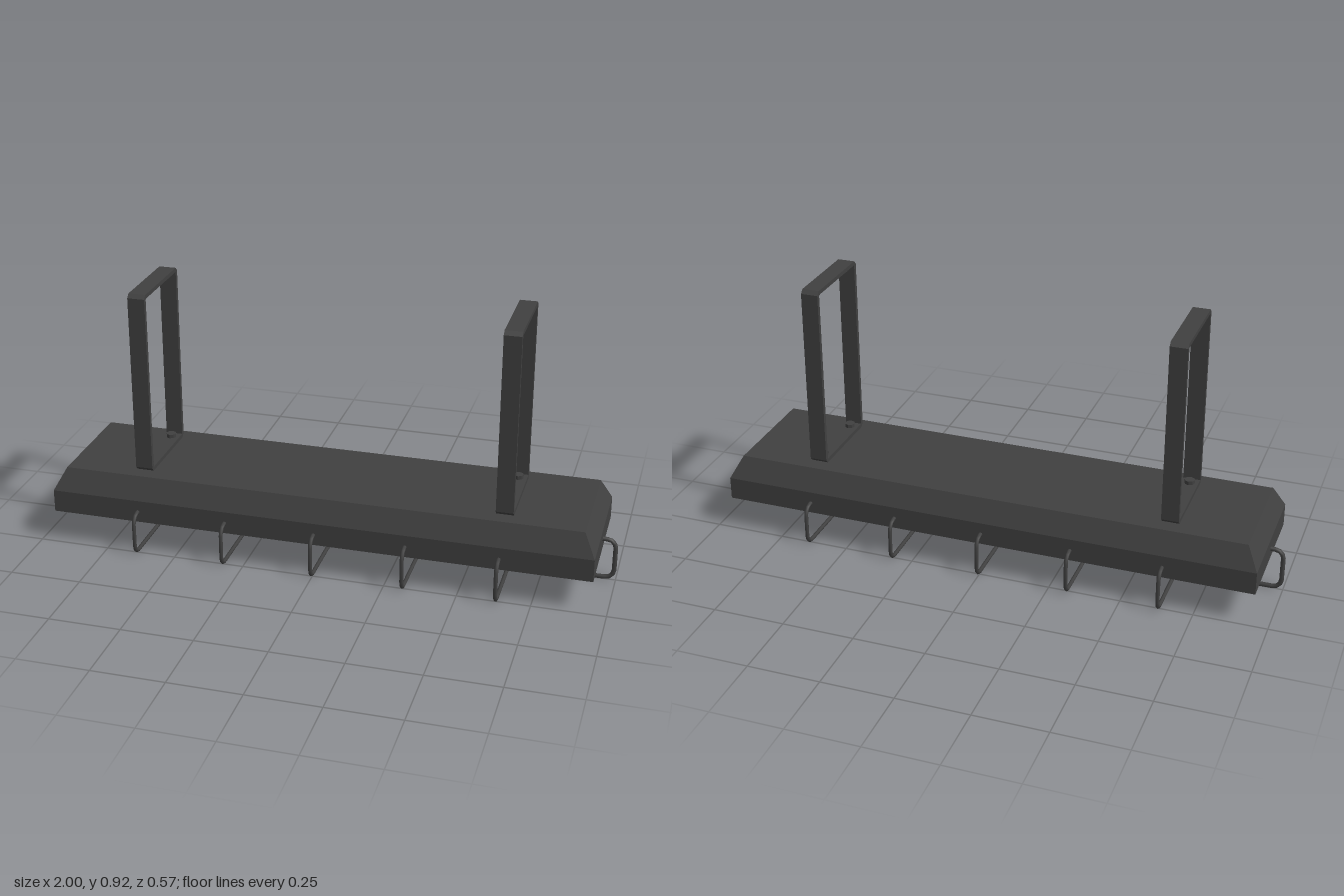
import * as THREE from 'three';

const metal = new THREE.MeshStandardMaterial({ color: 0x404040 });
metal.name = 'dark metal';

function addMesh(parent, geometry, name) {
  const mesh = new THREE.Mesh(geometry, metal);
  mesh.name = name;
  parent.add(mesh);
  return mesh;
}

// Flat-shaded solid skinned over rectangular rings [halfX, halfZ, y], last ring capped
function rectLoft(rings) {
  const corners = [[1, 1], [1, -1], [-1, -1], [-1, 1]];
  const pos = [];
  const point = ([hx, hz, y], i) => [corners[i % 4][0] * hx, y, corners[i % 4][1] * hz];
  for (let r = 0; r < rings.length - 1; r++) {
    for (let i = 0; i < 4; i++) {
      const a = point(rings[r], i), b = point(rings[r], i + 1);
      const c = point(rings[r + 1], i + 1), d = point(rings[r + 1], i);
      pos.push(...a, ...b, ...c, ...a, ...c, ...d);
    }
  }
  const top = [0, 1, 2, 3].map((i) => point(rings[rings.length - 1], i));
  pos.push(...top[0], ...top[1], ...top[2], ...top[0], ...top[2], ...top[3]);
  const g = new THREE.BufferGeometry();
  g.setAttribute('position', new THREE.Float32BufferAttribute(pos, 3));
  g.computeVertexNormals();
  return g;
}

// Path that places one tube ring exactly on each point, with mitred tangents
class PointPath extends THREE.Curve {
  constructor(points) {
    super();
    this.points = points;
  }
  getPointAt(t, target = new THREE.Vector3()) {
    return target.copy(this.points[Math.round(t * (this.points.length - 1))]);
  }
  getTangentAt(t, target = new THREE.Vector3()) {
    const p = this.points, n = p.length - 1, i = Math.round(t * n);
    const before = p[Math.max(i, 1)].clone().sub(p[Math.max(i, 1) - 1]).normalize();
    const j = Math.min(i, n - 1);
    const after = p[j + 1].clone().sub(p[j]).normalize();
    return target.copy(before.add(after).normalize());
  }
}

// U-shaped guard wire in the xy plane, its ends sunk into the housing walls
function guardWire(half, inner, low, high, r, radius) {
  const side = [new THREE.Vector3(inner, high, 0)];
  const arc = (cx, cy, start) => {
    for (let k = 0; k <= 3; k++) {
      const a = start - (k / 3) * Math.PI / 2;
      side.push(new THREE.Vector3(cx + r * Math.cos(a), cy + r * Math.sin(a), 0));
    }
  };
  arc(half - r, high - r, Math.PI / 2);
  arc(half - r, low + r, 0);
  const mirrored = side.map((p) => new THREE.Vector3(-p.x, p.y, 0)).reverse();
  const points = [...side, ...mirrored];
  return new THREE.TubeGeometry(new PointPath(points), points.length - 1, radius, 8, false);
}

// Rectangular strap loop with chamfered outer corners
function strapLoop(halfZ, bottom, top, thick, width) {
  const c = 0.013, y0 = bottom, y1 = top, h = halfZ, t = thick;
  const shape = new THREE.Shape([
    [-h + c, y0], [h - c, y0], [h, y0 + c], [h, y1 - c],
    [h - c, y1], [-h + c, y1], [-h, y1 - c], [-h, y0 + c],
  ].map(([x, y]) => new THREE.Vector2(x, y)));
  shape.holes.push(new THREE.Path([
    [-h + t, y0 + t], [-h + t, y1 - t], [h - t, y1 - t], [h - t, y0 + t],
  ].map(([x, y]) => new THREE.Vector2(x, y))));
  const g = new THREE.ExtrudeGeometry(shape, { depth: width, bevelEnabled: false });
  return g.translate(0, 0, -width / 2).rotateY(Math.PI / 2);
}

export function createModel() {
  const model = new THREE.Group();
  model.name = 'hangingFixture';

  // Housing with sloped shoulders and a recessed underside
  addMesh(model, rectLoft([
    [0.71, 0, 0.16], [0.91, 0.198, 0.16], [0.91, 0.198, 0.114],
    [0.948, 0.237, 0.114], [0.948, 0.237, 0.194], [0.908, 0.199, 0.272],
  ]), 'housing');

  // Wire guard: one long wire and five cross hoops
  const guard = new THREE.Group();
  guard.name = 'wireGuard';
  model.add(guard);
  addMesh(guard, guardWire(0.993, 0.93, 0.008, 0.152, 0.03, 0.008), 'longWire');
  const hoop = guardWire(0.277, 0.22, 0.01, 0.152, 0.03, 0.007).rotateY(Math.PI / 2);
  for (let i = -2; i <= 2; i++) {
    addMesh(guard, hoop, 'crossHoop').position.x = i * 0.3175;
  }

  // Two mounting brackets with bolts inside the top and bottom straps
  const strap = strapLoop(0.157, 0.272, 0.922, 0.0145, 0.06);
  const bolt = new THREE.CylinderGeometry(0.018, 0.018, 0.014, 8).toNonIndexed();
  bolt.computeVertexNormals();
  for (const side of [-1, 1]) {
    const bracket = new THREE.Group();
    bracket.name = side > 0 ? 'leftBracket' : 'rightBracket';
    bracket.position.x = side * 0.635;
    addMesh(bracket, strap, 'strap');
    for (const y of [0.293, 0.901]) {
      for (const z of [-0.112, 0.112]) addMesh(bracket, bolt, 'bolt').position.set(0, y, z);
    }
    model.add(bracket);
  }
  return model;
}
